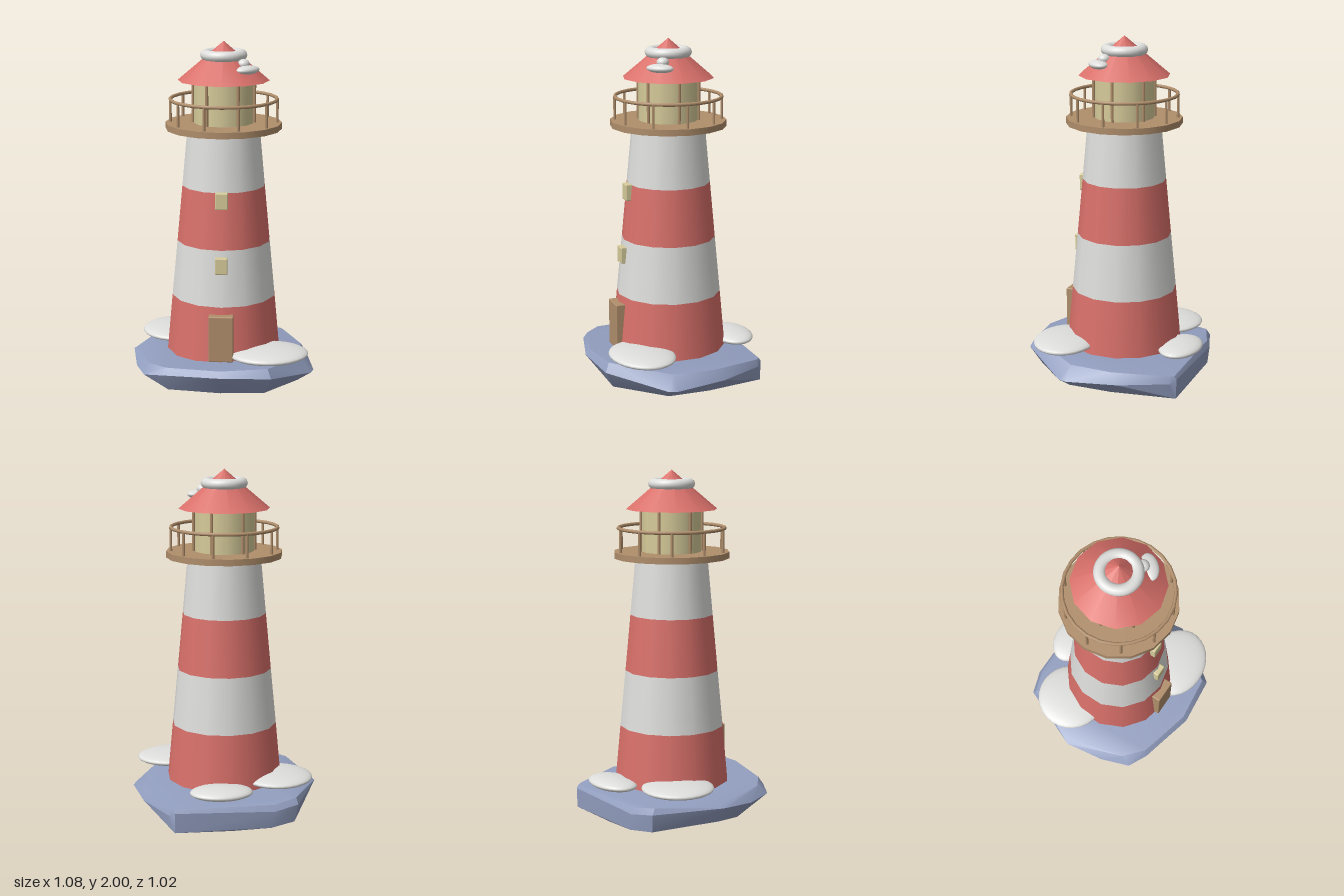
import * as THREE from 'three';
import { toCreasedNormals } from 'three/addons/utils/BufferGeometryUtils.js';
import { ConvexGeometry } from 'three/addons/geometries/ConvexGeometry.js';
import { RoundedBoxGeometry } from 'three/addons/geometries/RoundedBoxGeometry.js';

function material(name, color) {
  const m = new THREE.MeshStandardMaterial({ color });
  m.name = name;
  return m;
}

export function createModel() {
  const red = material('red paint', 0xd9706a);
  const white = material('white snow', 0xdededc);
  const wood = material('brown wood', 0xb08e6b);
  const glass = material('pale yellow glass', 0xd6cb9a);
  const stone = material('blue grey rock', 0x929ebf);

  const model = new THREE.Group();
  model.name = 'lighthouse';
  const building = new THREE.Group();
  building.name = 'building';
  building.position.z = -0.01;
  model.add(building);

  function add(parent, name, geometry, mat, x = 0, y = 0, z = 0) {
    const mesh = new THREE.Mesh(geometry, mat);
    mesh.name = name;
    mesh.position.set(x, y, z);
    parent.add(mesh);
    return mesh;
  }

  // Rock: a faceted, softly chamfered slab that rises toward the front
  const rockPoints = [
    // top rim
    [-0.37, 0.165, -0.40], [-0.24, 0.145, -0.45], [0.33, 0.14, -0.455], [0.35, 0.14, -0.43],
    [0.46, 0.16, -0.12], [0.46, 0.165, 0.13], [0.27, 0.212, 0.45], [0, 0.203, 0.48],
    [-0.31, 0.19, 0.4], [-0.42, 0.18, 0.3], [-0.51, 0.155, -0.04],
    // widest outline
    [-0.38, 0.13, -0.42], [-0.24, 0.11, -0.468], [0.33, 0.12, -0.468], [0.36, 0.1, -0.44],
    [0.49, 0.1, -0.17], [0.535, 0.09, 0.13], [0.52, 0.09, 0.18], [0.29, 0.16, 0.475],
    [0, 0.17, 0.505], [-0.33, 0.15, 0.42], [-0.44, 0.13, 0.36], [-0.5, 0.12, 0.19],
    [-0.54, 0.14, -0.04],
    // underside
    [-0.36, 0.025, -0.41], [-0.22, 0.012, -0.462], [0.33, 0.004, -0.464], [0, 0, -0.455],
    [0.2, 0, -0.42], [0.42, 0.02, -0.1], [0.44, 0.03, 0.15], [0.25, 0.055, 0.42],
    [0, 0.04, 0.4], [-0.3, 0.05, 0.38], [-0.42, 0.02, 0.15], [-0.49, 0.05, -0.04],
  ].map((p) => new THREE.Vector3(...p));
  add(model, 'rock', toCreasedNormals(new ConvexGeometry(rockPoints), 0.45), stone);

  // Tower: four tapering painted bands
  const levels = [0.188, 0.518, 0.846, 1.173, 1.502];
  const radii = [0.336, 0.305, 0.273, 0.242, 0.211];
  for (let i = 0; i < 4; i++) {
    const h = levels[i + 1] - levels[i];
    const band = new THREE.CylinderGeometry(radii[i + 1], radii[i], h, 14, 1);
    add(building, 'towerBand' + (i + 1), band, i % 2 ? white : red, 0, levels[i] + h / 2);
  }

  // Door and windows
  add(model, 'door', new RoundedBoxGeometry(0.142, 0.272, 0.06, 2, 0.006), wood, 0, 0.339, 0.307);
  add(model, 'lowerWindow', new RoundedBoxGeometry(0.072, 0.096, 0.05, 2, 0.006), glass, 0, 0.76, 0.268);
  add(model, 'upperWindow', new RoundedBoxGeometry(0.072, 0.096, 0.05, 2, 0.006), glass, 0, 1.13, 0.235);

  // Gallery floor with its railing
  add(building, 'galleryFloor', new THREE.CylinderGeometry(0.334, 0.334, 0.036, 16), wood, 0, 1.518);
  const rail = add(building, 'galleryRail', new THREE.TorusGeometry(0.306, 0.01, 8, 24), wood, 0, 1.67);
  rail.rotation.x = Math.PI / 2;
  for (let i = 0; i < 10; i++) {
    const a = (i * Math.PI) / 5;
    add(building, 'railPost', new THREE.CylinderGeometry(0.008, 0.008, 0.14, 8), wood,
      0.306 * Math.cos(a), 1.603, 0.306 * Math.sin(a));
  }

  // Lantern room with six uprights
  add(building, 'lanternGlass', new THREE.CylinderGeometry(0.172, 0.172, 0.25, 14), glass, 0, 1.658);
  for (let i = 0; i < 6; i++) {
    const a = (i * Math.PI) / 3;
    add(building, 'lanternPost', new THREE.CylinderGeometry(0.009, 0.009, 0.25, 8), wood,
      0.176 * Math.cos(a), 1.658, 0.176 * Math.sin(a));
  }

  // Conical roof
  add(building, 'roof', new THREE.ConeGeometry(0.262, 0.222, 12), red, 0, 1.889);

  // Snow: a ring and a drip on the roof, flat drifts on the rock
  const ring = add(building, 'roofSnowRing', new THREE.TorusGeometry(0.1, 0.034, 12, 32), white, 0, 1.921);
  ring.rotation.x = Math.PI / 2;
  ring.scale.z = 0.9;

  function drift(name, x, y, z, rx, ry, rz, turn = 0) {
    const mesh = add(model, name, new THREE.SphereGeometry(1, 28, 16), white, x, y, z);
    mesh.scale.set(rx, ry, rz);
    mesh.rotation.y = turn;
  }
  drift('roofSnowDrip', 0.138, 1.85, 0.09, 0.08, 0.025, 0.05, 0.8);
  drift('roofSnowNeck', 0.115, 1.88, 0.065, 0.035, 0.028, 0.035);
  drift('frontDrift', 0.272, 0.232, 0.25, 0.23, 0.038, 0.182, 0.15);
  drift('sideDrift', -0.29, 0.223, -0.18, 0.207, 0.037, 0.208);
  drift('backDrift', 0.058, 0.21, -0.39, 0.18, 0.036, 0.122);

  return model;
}
